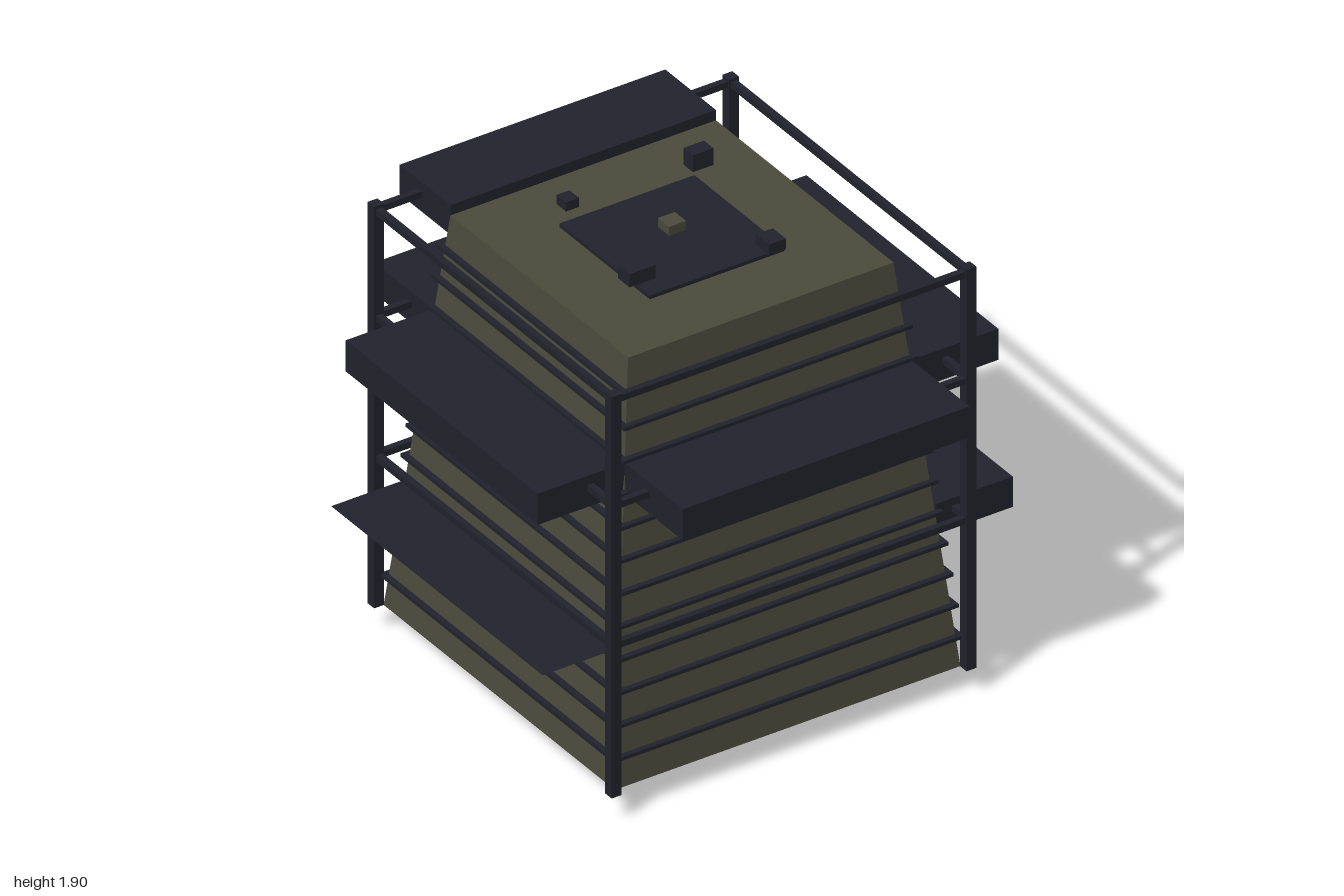
import * as THREE from 'three';

export function createModel() {
  const model = new THREE.Group();
  const olive = new THREE.MeshStandardMaterial({ color: 0x4a4a3c });
  olive.name = 'olive cladding';
  olive.flatShading = true;
  const dark = new THREE.MeshStandardMaterial({ color: 0x22222d });
  dark.name = 'dark metal';
  const darkSheet = new THREE.MeshStandardMaterial({ color: 0x22222d, side: THREE.DoubleSide });
  darkSheet.name = 'dark metal sheet';

  // Box given by its lower and upper corners
  function box(name, [x0, y0, z0], [x1, y1, z1], material = dark) {
    const mesh = new THREE.Mesh(new THREE.BoxGeometry(x1 - x0, y1 - y0, z1 - z0), material);
    mesh.position.set((x0 + x1) / 2, (y0 + y1) / 2, (z0 + z1) / 2);
    mesh.name = name;
    model.add(mesh);
    return mesh;
  }
  // Square slab centred on the vertical axis
  const slab = (name, half, y0, y1) => box(name, [-half, y0, -half], [half, y1, half]);

  // Tapered tower body
  const bottom = 0.11, top = 1.77, halfBottom = 0.735, halfTop = 0.565;
  const halfAt = (y) => halfBottom + (halfTop - halfBottom) * (y - bottom) / (top - bottom);
  const body = new THREE.Mesh(
    new THREE.CylinderGeometry(halfTop * Math.SQRT2, halfBottom * Math.SQRT2, top - bottom, 4)
      .rotateY(Math.PI / 4), olive);
  body.position.y = (top + bottom) / 2;
  body.name = 'towerBody';
  model.add(body);

  // Thin floor bands around the body
  for (let i = 0; i < 12; i++) {
    const y = 0.235 + i * 0.1275;
    slab('floorBand', halfAt(y) + 0.022, y - 0.007, y + 0.007);
  }

  // Base plates and roof plate
  slab('lowerBasePlate', 0.443, 0, 0.03);
  slab('upperBasePlate', 0.405, 0.067, 0.095);
  slab('roofPlate', 0.287, 1.765, 1.785);

  // Corner posts
  const p = 0.755;
  for (const x of [-p, p]) for (const z of [-p, p]) {
    box('cornerPost', [x - 0.021, bottom, z - 0.021], [x + 0.021, 1.79, z + 0.021]);
  }

  // Rails between the posts
  for (const y of [0.735, 1.32, 1.765]) for (const s of [-p, p]) {
    box('crossRail', [-p, y - 0.013, s - 0.013], [p, y + 0.013, s + 0.013]);
    box('sideRail', [s - 0.013, y - 0.013, -p], [s + 0.013, y + 0.013, p]);
  }

  // Balconies on all four sides
  for (let i = 0; i < 4; i++) {
    const balcony = new THREE.Group();
    const block = box('balconyBlock', [-0.61, 1.24, 0.61], [0.61, 1.37, 0.98]);
    balcony.add(block);
    balcony.rotation.y = i * Math.PI / 2;
    balcony.name = 'balcony';
    model.add(balcony);
  }
  box('lowerLeftBalcony', [0.675, 0.65, -0.672], [1, 0.777, 0.672]);
  box('upperBackBalcony', [-0.565, 1.69, -0.887], [0.565, 1.813, -0.565]);

  // Thin shelf on the right side
  const shelf = new THREE.Mesh(new THREE.PlaneGeometry(0.325, 1.344).rotateX(-Math.PI / 2), darkSheet);
  shelf.position.set(-0.8375, 0.65, 0);
  shelf.name = 'lowerRightShelf';
  model.add(shelf);

  // Small blocks above the roof
  box('roofBlock', [-0.25, 1.815, -0.36], [-0.195, 1.853, -0.3]);
  box('roofBlock', [0.25, 1.835, -0.3], [0.337, 1.905, -0.24]);
  box('roofBlock', [-0.353, 1.828, 0.185], [-0.243, 1.883, 0.258]);
  box('roofBlock', [0.185, 1.816, 0.257], [0.257, 1.86, 0.34]);
  box('roofCap', [-0.036, 1.815, -0.036], [0.036, 1.852, 0.036], olive);

  return model;
}
